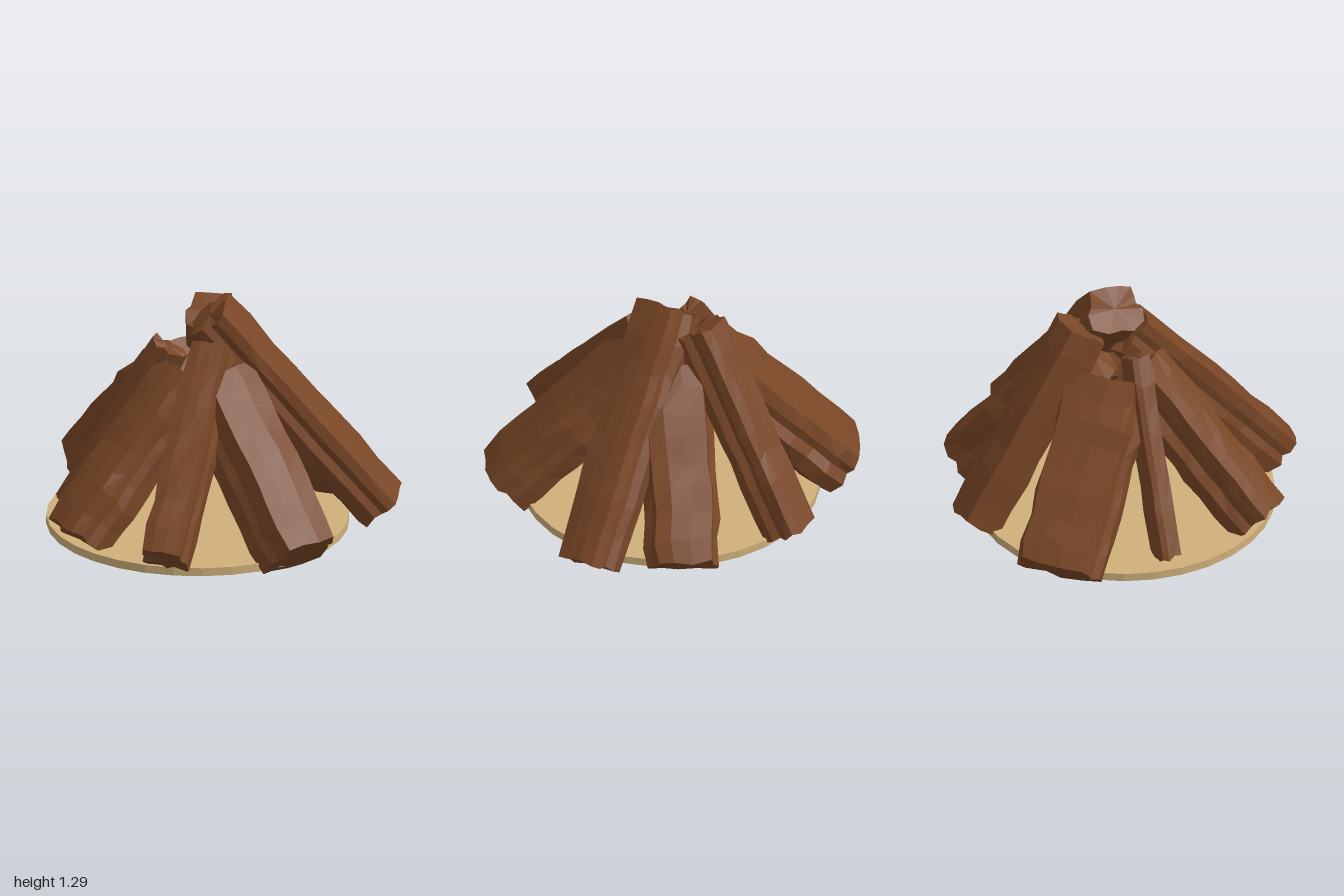
import * as THREE from 'three';

const bark = new THREE.MeshStandardMaterial({ color: 0x784626, flatShading: true });
const sand = new THREE.MeshStandardMaterial({ color: 0xcfb07a, flatShading: true });

// Split-log cross-section: u across, v outward, counter-clockwise, with grooves
const SECTION = [
  [-0.2, 1], [-0.74, 0.93], [-0.84, 0.5], [-0.82, 0.15], [-1, -0.15], [-0.95, -0.8],
  [-0.4, -1.06], [0.1, -0.93], [0.5, -1.06], [0.95, -0.7], [1, -0.1], [0.82, 0.2],
  [0.84, 0.5], [0.76, 0.93], [0.3, 1],
];

function seeded(seed) {
  let s = seed * 7919 + 17;
  return () => {
    s = (s * 16807) % 2147483647;
    return s / 2147483647 - 0.5;
  };
}

// Rough log swept from its foot to its tip; w and t are half width and half thickness
function makeLog(name, foot, tip, w, t, roll, seed) {
  const rand = seeded(seed);
  for (let i = 0; i < 5; i++) rand();
  const a = new THREE.Vector3(...foot);
  const b = new THREE.Vector3(...tip);
  const axis = b.clone().sub(a).normalize();
  const out = new THREE.Vector3(a.x - b.x, 0, a.z - b.z).normalize();
  const n = out.addScaledVector(axis, -out.dot(axis)).normalize().applyAxisAngle(axis, roll);
  const s = new THREE.Vector3().crossVectors(n, axis);

  const rings = 8;
  const count = SECTION.length;
  const groove = SECTION.map(() => 1 + rand() * 0.08);
  const positions = [];
  const index = [];
  for (let i = 0; i <= rings; i++) {
    const k = i / rings;
    const end = i === 0 || i === rings;
    const size = (end ? 0.97 : 1) + rand() * 0.07;
    const shift = end ? 0 : rand() * 0.1;
    SECTION.forEach(([u, v], j) => {
      const r = size * groove[j] * (1 + rand() * 0.05);
      const p = a.clone().lerp(b, k)
        .addScaledVector(s, w * (u * r + shift))
        .addScaledVector(n, t * v * r)
        .addScaledVector(axis, rand() * (end ? 0.03 : 0.05));
      positions.push(p.x, p.y, p.z);
    });
  }
  for (let i = 0; i < rings; i++) {
    for (let j = 0; j < count; j++) {
      const p = i * count + j;
      const q = i * count + (j + 1) % count;
      index.push(p, q, q + count, p, q + count, p + count);
    }
  }
  // End caps
  const first = positions.length / 3;
  positions.push(...foot, ...tip);
  for (let j = 0; j < count; j++) {
    const k = (j + 1) % count;
    index.push(first, k, j, first + 1, rings * count + j, rings * count + k);
  }
  const indexed = new THREE.BufferGeometry();
  indexed.setAttribute('position', new THREE.Float32BufferAttribute(positions, 3));
  indexed.setIndex(index);
  const geometry = indexed.toNonIndexed();
  geometry.computeVertexNormals();
  const mesh = new THREE.Mesh(geometry, bark);
  mesh.name = name;
  return mesh;
}

export function createModel() {
  const group = new THREE.Group();
  group.name = 'campfire';

  // Round ground plate
  const base = new THREE.Mesh(new THREE.CylinderGeometry(0.803, 0.803, 0.045, 32), sand);
  base.name = 'groundDisc';
  base.position.set(0.012, 0.066, 0.055);
  group.add(base);

  // Leaning logs: name, foot centre, tip centre, half width, half thickness, roll
  const logs = [
    ['frontLog', [-0.01, 0.125, 0.83], [0.025, 0.88, 0.12], 0.162, 0.153, 0],
    ['backLog', [0.02, 0.107, -0.83], [0.02, 0.9, -0.12], 0.2, 0.153, 0],
    ['leftLog', [0.895, 0.12, 0.015], [0.15, 0.88, 0.025], 0.21, 0.153, 0],
    ['rightLog', [-0.89, 0.125, 0.05], [-0.15, 0.88, 0.04], 0.235, 0.153, 0],
    ['frontLeftLog', [0.59, 0.145, 0.69], [0.125, 1.04, 0.03], 0.125, 0.135, 0],
    ['backLeftLog', [0.525, 0.12, -0.775], [0.035, 1.21, -0.005], 0.165, 0.13, -0.25],
    ['backRightLog', [-0.57, 0.105, -0.555], [-0.125, 1.16, -0.13], 0.13, 0.125, 0],
    ['frontRightLog', [-0.485, 0.085, 0.51], [-0.09, 1.03, 0.17], 0.07, 0.105, 0],
  ];
  logs.forEach((spec, i) => group.add(makeLog(...spec, i + 1)));
  return group;
}
